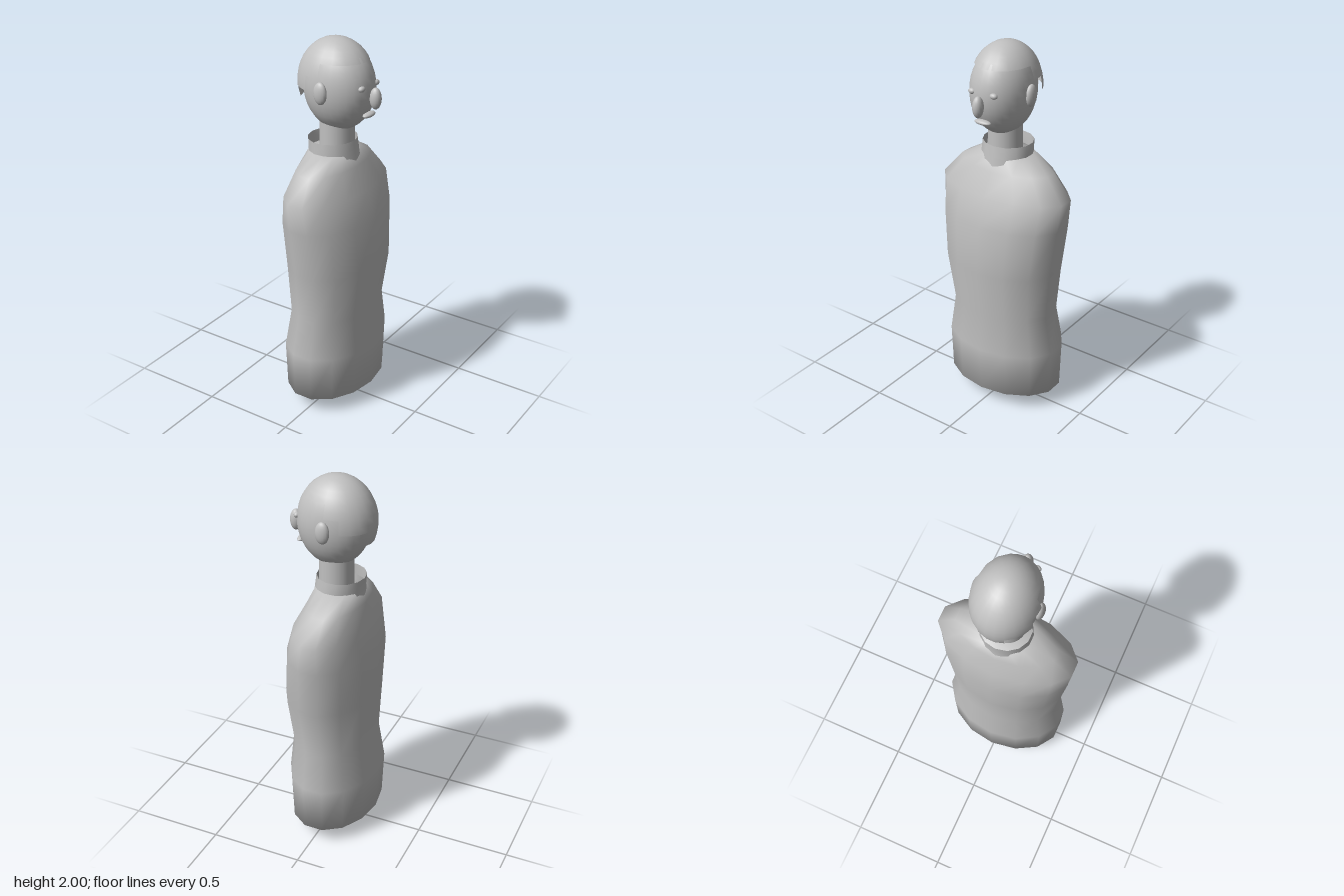
import * as THREE from 'three';

const SIDES = 14;

// Smooth surface lofted through elliptical rings [y, centreX, radiusX, radiusZ, frontDrop];
// it starts and ends in a point when closed.
function loft(rings, closed) {
  const pos = [], idx = [];
  for (const [y, cx, rx, rz, drop = 0] of rings) {
    for (let i = 0; i < SIDES; i++) {
      const a = (i / SIDES) * Math.PI * 2;
      const front = Math.max(0, Math.cos(a));
      pos.push(cx + rx * Math.cos(a), y - drop * front, rz * Math.sin(a));
    }
  }
  for (let r = 0; r < rings.length - 1; r++) {
    for (let i = 0; i < SIDES; i++) {
      const a = r * SIDES + i, b = r * SIDES + ((i + 1) % SIDES);
      idx.push(a, a + SIDES, b, b, a + SIDES, b + SIDES);
    }
  }
  if (closed) {
    const bottom = pos.length / 3, top = bottom + 1, last = (rings.length - 1) * SIDES;
    pos.push(0, 0, 0, rings.at(-1)[1], rings.at(-1)[0] + 0.01, 0);
    for (let i = 0; i < SIDES; i++) {
      const j = (i + 1) % SIDES;
      idx.push(bottom, i, j, top, last + j, last + i);
    }
  }
  const g = new THREE.BufferGeometry();
  g.setAttribute('position', new THREE.Float32BufferAttribute(pos, 3));
  g.setIndex(idx);
  g.computeVertexNormals();
  return g;
}

export function createModel() {
  const model = new THREE.Group();
  model.name = 'bust';
  const grey = new THREE.MeshStandardMaterial({ color: 0xc0c0c0, side: THREE.DoubleSide });
  grey.name = 'plain grey';

  function add(name, geometry, parent = model) {
    const mesh = new THREE.Mesh(geometry, grey);
    mesh.name = name;
    parent.add(mesh);
    return mesh;
  }
  function ellipsoid(name, [x, y, z], [rx, ry, rz], w = 16, h = 12) {
    const mesh = add(name, new THREE.SphereGeometry(1, w, h));
    mesh.position.set(x, y, z);
    mesh.scale.set(rx, ry, rz);
    return mesh;
  }

  // Torso with waist, chest, sloping shoulders and a shallow pointed base
  add('torso', loft([
    [0.09, -0.01, 0.23, 0.33],
    [0.34, -0.01, 0.24, 0.338],
    [0.55, -0.003, 0.213, 0.302],
    [0.82, 0.01, 0.238, 0.333],
    [1.08, -0.003, 0.232, 0.362],
    [1.23, -0.01, 0.192, 0.376],
    [1.35, -0.022, 0.142, 0.272],
    [1.42, -0.024, 0.118, 0.149],
  ], true));

  // Open standing collar, dipping at the front
  add('collar', loft([
    [1.385, -0.02, 0.134, 0.138, 0.03],
    [1.42, -0.023, 0.127, 0.137, 0.01],
    [1.48, -0.03, 0.125, 0.133],
  ], false));

  const neck = add('neck', new THREE.CylinderGeometry(0.088, 0.09, 0.2, 24));
  neck.position.set(-0.003, 1.48, 0);

  // Head and face, looking along +x
  ellipsoid('head', [0.01, 1.76, 0], [0.19, 0.228, 0.156], 28, 20);
  ellipsoid('nose', [0.219, 1.727, 0], [0.031, 0.055, 0.027]);
  ellipsoid('mouth', [0.183, 1.638, 0], [0.022, 0.013, 0.048]);
  for (const [side, s] of [['left', -1], ['right', 1]]) {
    ellipsoid(side + 'Eye', [0.18, 1.784, s * 0.064], [0.016, 0.015, 0.021]);
    ellipsoid(side + 'Ear', [0.003, 1.755, s * 0.158], [0.037, 0.057, 0.023]);
  }

  // Hair: thin shell stepping lower from brow to nape, [start, end, bottom] in degrees from +x
  const hair = new THREE.Group();
  hair.name = 'hair';
  hair.position.set(-0.007, 1.77, 0);
  hair.scale.set(0.204, 0.23, 0.173);
  const rad = THREE.MathUtils.degToRad;
  for (const [start, end, bottom] of [
    [-90, 90, 56.25],
    [90, 112.5, 75], [-112.5, -90, 75],
    [112.5, 157.5, 93.75], [-157.5, -112.5, 93.75],
    [157.5, 202.5, 112.5],
  ]) {
    add('hairPanel', new THREE.SphereGeometry(1, Math.round((end - start) / 22.5),
      Math.round(bottom / 9.375), rad(start + 180), rad(end - start), 0, rad(bottom)), hair);
  }
  model.add(hair);

  return model;
}
